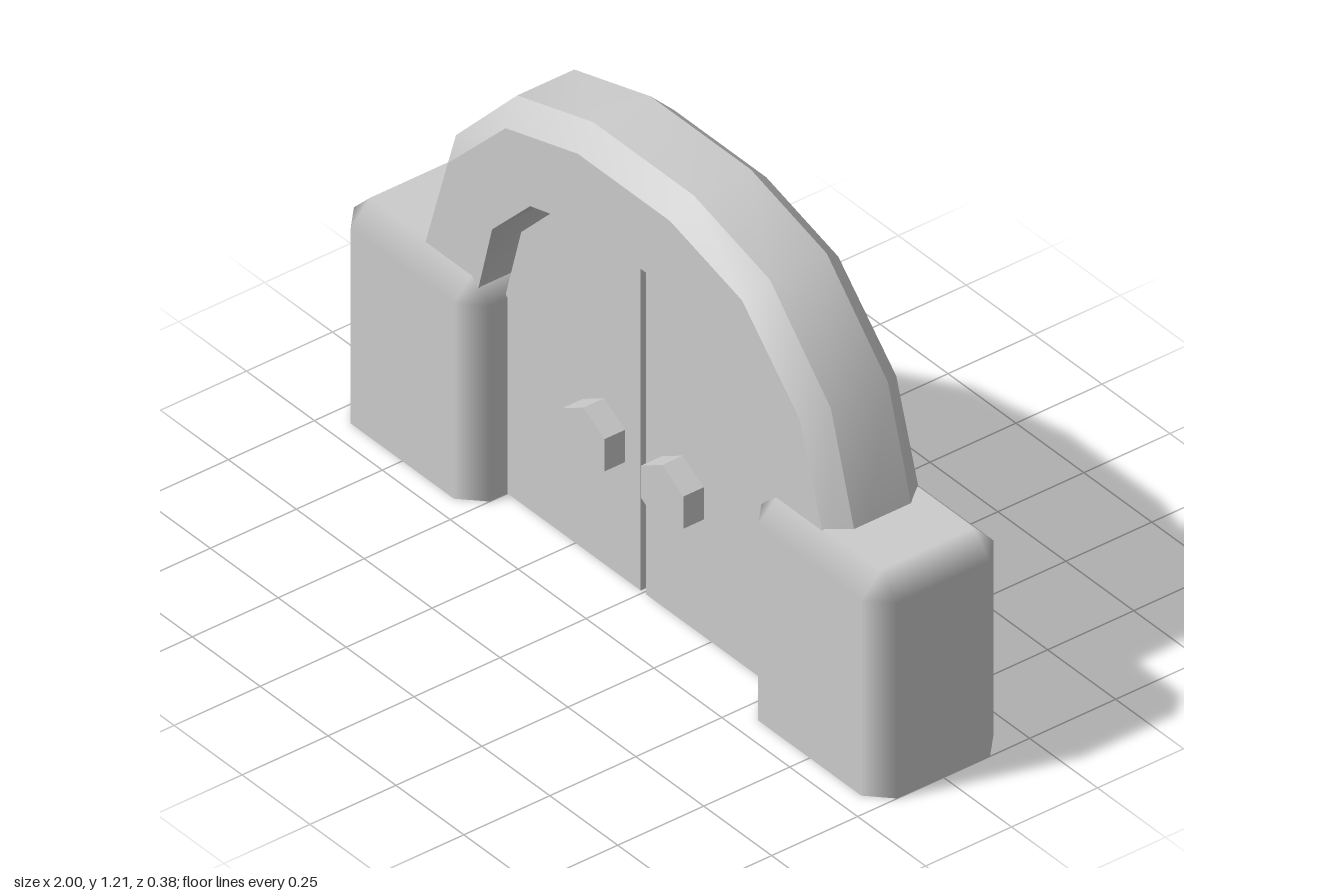
import * as THREE from 'three';
import { toCreasedNormals } from 'three/addons/utils/BufferGeometryUtils.js';

const material = new THREE.MeshStandardMaterial({ color: 0xcccccc });

function addMesh(parent, name, geometry) {
  const mesh = new THREE.Mesh(geometry, material);
  mesh.name = name;
  parent.add(mesh);
  return mesh;
}

// Skin of quads between successive closed rings of n points
function loftIndex(ringCount, n) {
  const index = [];
  for (let j = 0; j < ringCount - 1; j++) {
    for (let i = 0; i < n; i++) {
      const k = (i + 1) % n;
      const a = j * n + i, b = j * n + k, c = b + n, d = a + n;
      index.push(a, b, c, a, c, d);
    }
  }
  return index;
}

function buildGeometry(points, index, normals) {
  const g = new THREE.BufferGeometry();
  g.setAttribute('position', new THREE.Float32BufferAttribute(points.flat(), 3));
  if (normals) g.setAttribute('normal', new THREE.Float32BufferAttribute(normals.flat(), 3));
  g.setIndex(index);
  return g;
}

// Block with chamfered uprights and top rim; each bevel blends between its flat faces
function postGeometry() {
  const X = 0.25, x = 0.19, Z = 0.192, z = 0.135;
  const outline = [[x, Z], [X, z], [X, -z], [x, -Z], [-x, -Z], [-X, -z], [-X, z], [-x, Z]];
  const sides = outline.map(([px, pz]) =>
    Math.abs(px) === X ? [Math.sign(px), 0, 0] : [0, 0, Math.sign(pz)]);
  const at = (y) => outline.map(([px, pz]) => [px, y, pz]);
  const top = outline.map(([px, pz]) => [Math.sign(px) * x, 0.605, Math.sign(pz) * z]);
  const points = [...at(0), ...at(0.545), ...top, ...at(0)];
  const normals = [...sides, ...sides, ...top.map(() => [0, 1, 0]), ...top.map(() => [0, -1, 0])];
  const index = loftIndex(3, 8);
  for (let i = 1; i < 7; i++) {
    index.push(16, 16 + i, 17 + i); // top face
    index.push(24, 25 + i, 24 + i); // underside
  }
  return buildGeometry(points, index, normals);
}

// Faceted arch with chamfered outer rims; its feet are sunk in the posts
function archGeometry() {
  const half = [ // outer, chamfer and inner points of each station, foot to crown
    [[0.806, 0.5], [0.761, 0.5], [0.556, 0.5]],
    [[0.69, 0.895], [0.648, 0.865], [0.485, 0.77]],
    [[0.465, 1.13], [0.435, 1.08], [0.345, 0.912]],
    [[0.185, 1.21], [0.17, 1.155], [0.16, 0.962]],
  ];
  const flip = (station) => station.map(([x, y]) => [-x, y]);
  const stations = [...half.map(flip), ...half.slice().reverse()];
  const rings = stations.map(([outer, rim, inner]) => [
    [...outer, -0.083], [...outer, 0.083], [...rim, 0.14],
    [...inner, 0.14], [...inner, -0.14], [...rim, -0.14],
  ]);
  const index = loftIndex(rings.length, 6);
  return toCreasedNormals(buildGeometry(rings.flat(), index), 0.6);
}

// One door leaf, slightly clear of the arch
function doorGeometry(side) {
  const outline = [[0.01, 0], [0.52, 0], [0.52, 0.505], [0.45, 0.757],
    [0.325, 0.886], [0.155, 0.932], [0.01, 0.932]];
  const shape = new THREE.Shape(outline.map(([x, y]) => new THREE.Vector2(side * x, y)));
  const g = new THREE.ExtrudeGeometry(shape, { depth: 0.166, bevelEnabled: false });
  return g.translate(0, 0, -0.083);
}

export function createModel() {
  const gate = new THREE.Group();
  gate.name = 'archedGate';

  addMesh(gate, 'arch', archGeometry());

  for (const side of [-1, 1]) {
    const label = side > 0 ? 'left' : 'right';
    addMesh(gate, label + 'Post', postGeometry()).position.x = side * 0.75;
    addMesh(gate, label + 'Door', doorGeometry(side));

    // Hexagonal knob passing through the leaf, showing on both faces
    const knob = toCreasedNormals(new THREE.CylinderGeometry(0.09, 0.09, 0.286, 6), 0.5);
    knob.rotateX(Math.PI / 2);
    addMesh(gate, label + 'Knob', knob).position.set(side * 0.145, 0.372, 0);
  }
  return gate;
}
